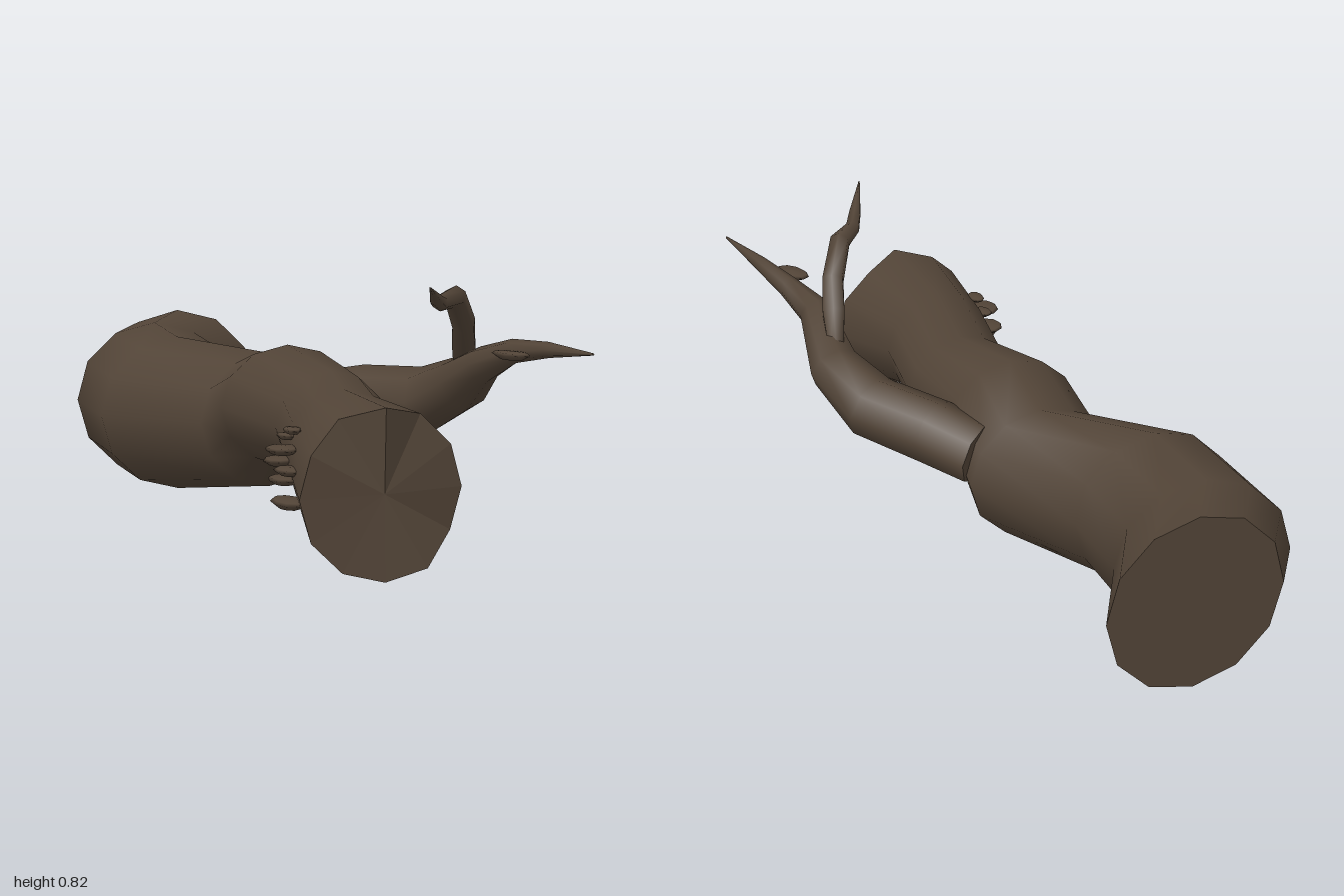
import * as THREE from 'three';

const V = (x, y, z) => new THREE.Vector3(x, y, z);

// Smooth skin over closed rings of points (clockwise seen from the far end)
function loft(rings) {
  const n = rings[0].length, pos = [], idx = [];
  rings.forEach(r => r.forEach(p => pos.push(p.x, p.y, p.z)));
  for (let i = 0; i < rings.length - 1; i++) {
    for (let j = 0; j < n; j++) {
      const k = (j + 1) % n;
      const a = i * n + j, b = i * n + k, c = a + n, d = b + n;
      idx.push(a, c, b, b, c, d);
    }
  }
  const g = new THREE.BufferGeometry();
  g.setAttribute('position', new THREE.Float32BufferAttribute(pos, 3));
  g.setIndex(idx);
  g.computeVertexNormals();
  return g;
}

// Faceted fan closing a ring towards a centre point
function cap(ring, centre, front) {
  const pos = [];
  ring.forEach((p, j) => {
    const q = ring[(j + 1) % ring.length];
    (front ? [centre, q, p] : [centre, p, q]).forEach(v => pos.push(v.x, v.y, v.z));
  });
  const g = new THREE.BufferGeometry();
  g.setAttribute('position', new THREE.Float32BufferAttribute(pos, 3));
  g.computeVertexNormals();
  return g;
}

// Rings of a tapering limb along stations [x, y, z, radius]
function limbRings(stations, sides) {
  const pts = stations.map(s => V(s[0], s[1], s[2]));
  return pts.map((c, i) => {
    const t = pts[Math.min(i + 1, pts.length - 1)].clone().sub(pts[Math.max(i - 1, 0)]).normalize();
    const side = V(0, 1, 0).cross(t).normalize();
    const up = t.clone().cross(side);
    return Array.from({ length: sides }, (_, j) => {
      const a = j / sides * Math.PI * 2, r = stations[i][3];
      return c.clone().addScaledVector(side, r * Math.sin(a)).addScaledVector(up, r * Math.cos(a));
    });
  });
}

export function createModel() {
  const model = new THREE.Group();
  const bark = new THREE.MeshStandardMaterial({ color: 0x524437 });
  bark.name = 'brown bark';
  const add = (name, geometry, parent = model) => {
    const m = new THREE.Mesh(geometry, bark);
    m.name = name;
    parent.add(m);
    return m;
  };

  // Trunk: left x, right x, bottom y, top y, left z, right z
  const trunk = [
    [-0.42, 0.12, 0.0, 0.545, -1, -1],
    [-0.52, -0.02, 0.025, 0.53, -0.86, -0.76],
    [-0.51, -0.02, 0.035, 0.522, -0.51, -0.51],
    [-0.26, 0.18, 0.085, 0.50, -0.22, -0.22],
    [-0.25, 0.16, 0.195, 0.555, 0, 0],
    [-0.16, 0.17, 0.20, 0.515, 0.28, 0.28],
    [-0.22, 0.12, 0.175, 0.51, 0.59, 0.59],
    [-0.28, 0.19, 0.05, 0.515, 0.95, 0.95],
  ].map(([l, r, b, t, zl, zr]) => Array.from({ length: 12 }, (_, j) => {
    const a = j / 12 * Math.PI * 2, s = Math.sin(a);
    return V((l + r) / 2 + (r - l) / 2 * s, (b + t) / 2 + (t - b) / 2 * Math.cos(a),
      (zl + zr) / 2 + (zr - zl) / 2 * s);
  }));
  // Broken front rim
  const end = trunk[trunk.length - 1];
  [1, 2, 3, 4].forEach(j => { end[j].z = 0.88; });
  end[11].z = 0.91;
  add('trunk', loft(trunk));
  add('brokenEnd', cap(end, V(-0.043, 0.283, 0.935), true));
  add('cutEnd', cap(trunk[0], V(-0.15, 0.272, -1), false));

  // Branch and its two twigs
  const limbs = {
    branch: [8, [[0.12, 0.355, -0.15, 0.095], [0.21, 0.382, -0.02, 0.1], [0.335, 0.40, 0.17, 0.098],
      [0.395, 0.47, 0.32, 0.08], [0.375, 0.555, 0.54, 0.052], [0.425, 0.605, 0.645, 0.034],
      [0.465, 0.627, 0.80, 0.022], [0.51, 0.64, 1.0, 0.003]]],
    twig: [6, [[0.385, 0.51, 0.33, 0.025], [0.355, 0.60, 0.43, 0.038], [0.325, 0.67, 0.51, 0.035],
      [0.27, 0.755, 0.59, 0.032], [0.195, 0.75, 0.68, 0.023], [0.16, 0.768, 0.75, 0.019],
      [0.10, 0.815, 0.87, 0.002]]],
  };
  for (const [name, [sides, stations]] of Object.entries(limbs)) {
    const rings = limbRings(stations, sides), last = stations.length - 1;
    add(name, loft(rings));
    add(name + 'Base', cap(rings[0], V(...stations[0].slice(0, 3)), false));
    add(name + 'Tip', cap(rings[last], V(...stations[last].slice(0, 3)), true));
  }

  // Shelf fungi: x, y, z, half width, half height, half length, turn
  const shelf = new THREE.LatheGeometry(
    [[0, -1], [0.6, -0.75], [1, 0.2], [0.85, 0.7], [0, 1]].map(p => new THREE.Vector2(...p)), 9);
  const fungi = new THREE.Group();
  fungi.name = 'shelfFungi';
  model.add(fungi);
  [
    [-0.225, 0.42, 0.69, 0.025, 0.010, 0.038, 0],
    [-0.225, 0.395, 0.63, 0.025, 0.010, 0.035, 0.2],
    [-0.255, 0.37, 0.70, 0.048, 0.013, 0.055, 0],
    [-0.25, 0.33, 0.645, 0.045, 0.013, 0.05, -0.2],
    [-0.255, 0.325, 0.77, 0.042, 0.012, 0.055, 0.1],
    [-0.25, 0.288, 0.70, 0.045, 0.013, 0.055, 0],
    [-0.25, 0.232, 0.74, 0.045, 0.015, 0.075, 0.1],
    [0.383, 0.605, 0.73, 0.036, 0.013, 0.065, 0.45],
  ].forEach(([x, y, z, w, h, l, turn]) => {
    const m = add('shelfFungus', shelf, fungi);
    m.position.set(x, y, z);
    m.scale.set(w, h, l);
    m.rotation.y = turn;
  });
  return model;
}
